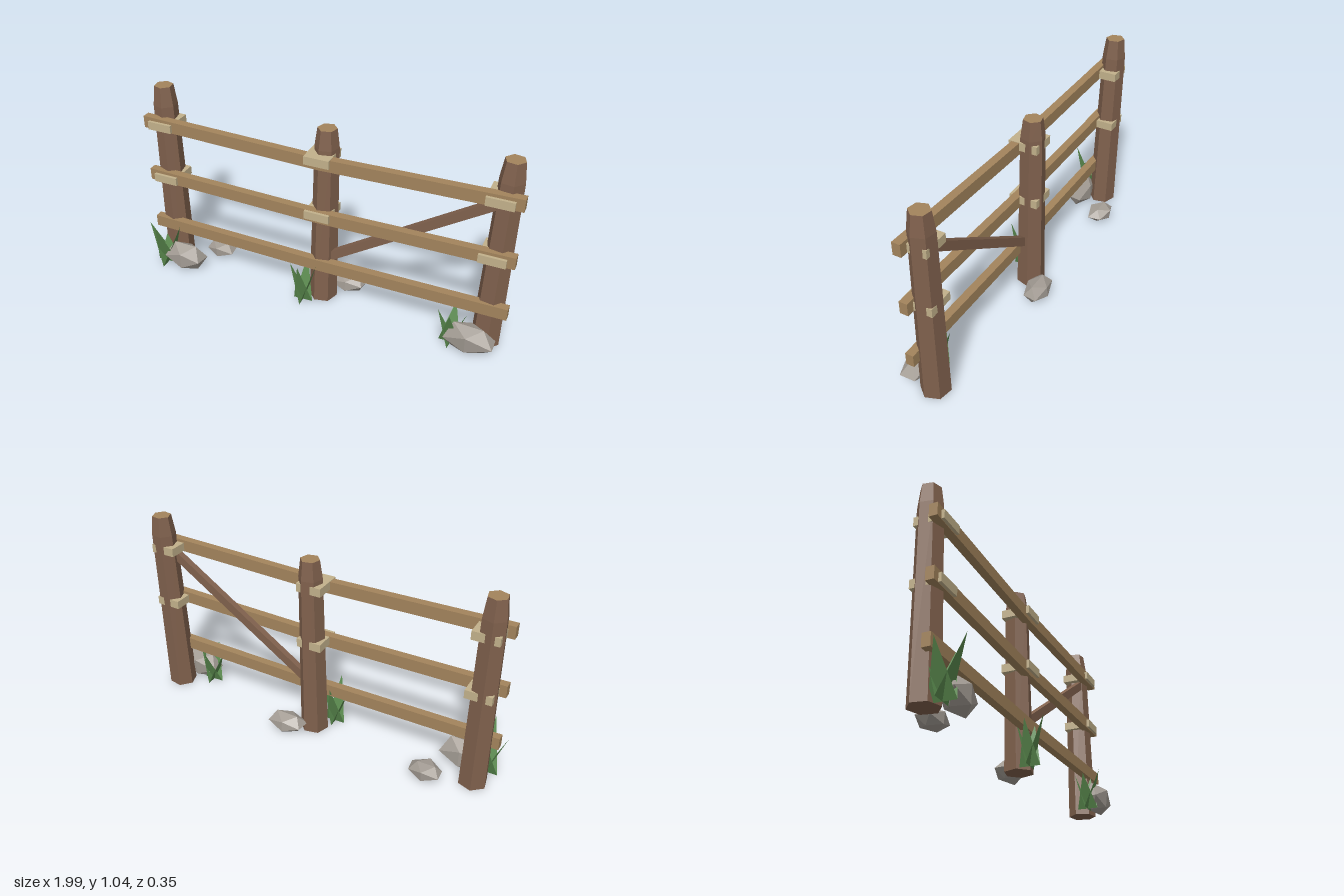
import * as THREE from 'three';

const mat = (name, color, extra = {}) => {
  const m = new THREE.MeshStandardMaterial({ color, flatShading: true, ...extra });
  m.name = name;
  return m;
};

export function createModel() {
  const root = new THREE.Group();
  root.name = 'fence';
  const postWood = mat('dark wood', 0x80614d);
  const railWood = mat('rail wood', 0xa3845c);
  const tieWood = mat('pale wood', 0xc2b18b);
  const stone = mat('stone', 0xa39c94);
  const leaf = mat('grass green', 0x5a8a4e, { side: THREE.DoubleSide });

  const add = (name, geometry, material, x = 0, y = 0, z = 0) => {
    const mesh = new THREE.Mesh(geometry, material);
    mesh.name = name;
    mesh.position.set(x, y, z);
    root.add(mesh);
    return mesh;
  };
  const moveVertices = (geometry, rule) => {
    const p = geometry.attributes.position;
    const v = new THREE.Vector3();
    for (let i = 0; i < p.count; i++) {
      rule(v.fromBufferAttribute(p, i));
      p.setXYZ(i, v.x, v.y, v.z);
    }
    geometry.computeVertexNormals();
    return geometry;
  };

  // Hexagonal posts: slight lean, slow taper, then a narrow shoulder at the top
  const posts = [
    { name: 'rightPost', base: -0.877, top: -0.888, height: 1.037, turn: 0.2 },
    { name: 'middlePost', base: 0.014, top: 0.026, height: 0.985, turn: 0.75 },
    { name: 'leftPost', base: 0.898, top: 0.915, height: 1.02, turn: 0.35 },
  ];
  for (const { name, base, top, height, turn } of posts) {
    const g = new THREE.CylinderGeometry(1, 1, 1, 6, 2, false, turn);
    moveVertices(g, (v) => {
      const [t, r] = v.y < -0.1 ? [0, 0.074] : v.y < 0.1 ? [0.9, 0.062] : [1, 0.049];
      v.set(
        v.x * r + THREE.MathUtils.lerp(base, top, t),
        t * height,
        v.z * r + THREE.MathUtils.lerp(-0.018, -0.036, t),
      );
    });
    add(name, g, [postWood, railWood, postWood]);
  }

  // Three rails, each sagging at the middle post
  const rails = [
    ['topRail', 0.852, 0.023],
    ['middleRail', 0.542, 0.018],
    ['bottomRail', 0.242, 0.012],
  ];
  for (const [name, y, sag] of rails) {
    const g = new THREE.BoxGeometry(1.968, 0.064, 0.042, 2, 1, 1);
    moveVertices(g, (v) => { if (Math.abs(v.x) < 0.1) v.y -= sag; });
    add(name, g, railWood, 0.013, y, 0.032);
  }

  // Pale ties holding the two upper rails to each post
  for (const y of [0.843, 0.534]) {
    for (const x of [-0.871, 0.011, 0.892]) {
      add('tie', new THREE.BoxGeometry(0.133, 0.044, 0.152), tieWood, x, y, -0.008);
    }
  }

  // Diagonal brace
  const from = new THREE.Vector2(0.0, 0.236);
  const to = new THREE.Vector2(0.9, 0.82);
  const brace = add('brace',
    new THREE.BoxGeometry(from.distanceTo(to), 0.046, 0.034), postWood,
    (from.x + to.x) / 2, (from.y + to.y) / 2, -0.004);
  brace.rotation.z = Math.atan2(to.y - from.y, to.x - from.x);

  // Faceted rocks, flattened on the ground
  const rocks = [
    [-0.783, 0.068, 0.078, 0.118, 0.086, 0.072, 0.4],
    [-0.664, 0.042, -0.107, 0.094, 0.05, 0.066, 1.3],
    [0.122, 0.05, -0.117, 0.104, 0.052, 0.07, 2.1],
    [0.835, 0.066, 0.09, 0.138, 0.09, 0.07, 3.2],
  ];
  for (const [x, y, z, rx, ry, rz, seed] of rocks) {
    const g = new THREE.IcosahedronGeometry(1, 0);
    moveVertices(g, (v) => {
      // same position gives the same bump, so the facets stay joined
      const n = Math.sin(v.x * 5.1 + v.y * 3.7 + v.z * 7.3 + seed * 4);
      v.multiplyScalar(1.02 + 0.1 * n);
      v.set(v.x * rx, Math.max(v.y * ry, -y), v.z * rz);
    });
    add('rock', g, stone, x, y, z);
  }

  // Grass tufts: four pointed blades leaning outward from one centre
  const tufts = [
    [-0.903, 0.078, 0.064, 0.095, 0.28],
    [-0.063, 0.072, 0.052, 0.072, 0.255],
    [0.742, 0.07, 0.056, 0.072, 0.215],
  ];
  for (const [x, z, half, lean, height] of tufts) {
    for (let i = 0; i < 4; i++) {
      const h = height * [1, 0.9, 0.95, 0.85][i];
      const g = new THREE.BufferGeometry();
      g.setAttribute('position', new THREE.Float32BufferAttribute(
        [-half, 0, 0, half, 0, 0, 0, h, lean], 3));
      g.computeVertexNormals();
      add('grassBlade', g, leaf, x, 0, z).rotation.y = i * Math.PI / 2 + 0.04;
    }
  }
  return root;
}
